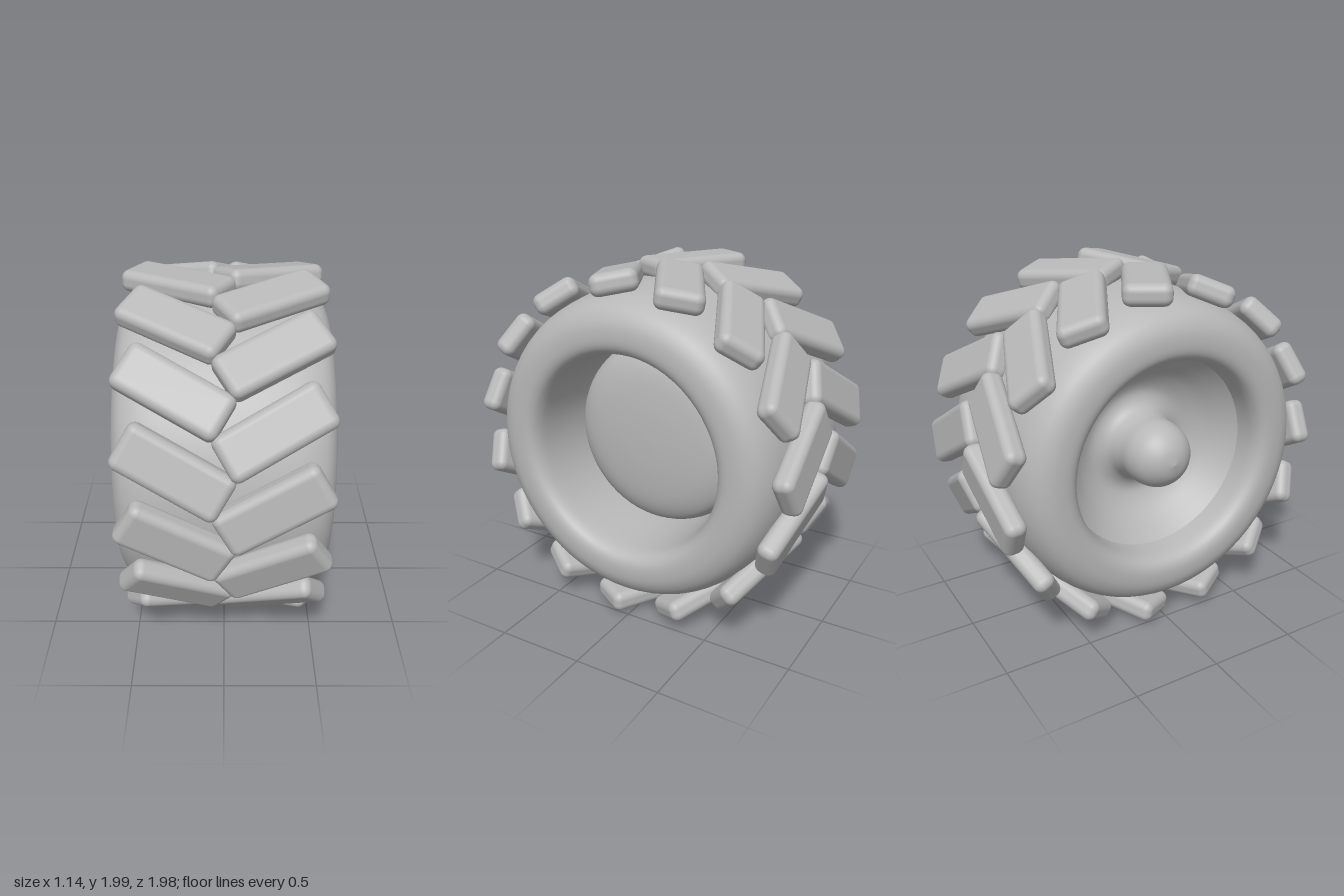
import * as THREE from 'three';
import { RoundedBoxGeometry } from 'three/addons/geometries/RoundedBoxGeometry.js';

const LUGS = 15;          // lugs on each half of the tread
const STEP = (Math.PI * 2) / LUGS;

// Smooth surface of revolution around the x axis; points are [radius, x].
function revolve(name, points, samples, material) {
  const curve = new THREE.SplineCurve(points.map(([r, x]) => new THREE.Vector2(r, x)));
  const profile = curve.getPoints(samples);
  profile.forEach((p) => { p.x = Math.max(0, p.x); });
  const geometry = new THREE.LatheGeometry(profile, 64);
  geometry.rotateZ(-Math.PI / 2);
  const mesh = new THREE.Mesh(geometry, material);
  mesh.name = name;
  return mesh;
}

export function createModel() {
  const grey = new THREE.MeshStandardMaterial({ color: 0xb8b8b8 });
  grey.name = 'plain grey';

  const model = new THREE.Group();
  model.name = 'tractorWheel';
  const wheel = new THREE.Group();
  wheel.name = 'wheel';
  wheel.position.y = 1;
  model.add(wheel);

  // Tyre body: half profile from the tread centre to the bore, mirrored
  const half = [
    [0.885, 0.22], [0.862, 0.4], [0.815, 0.505], [0.75, 0.555],
    [0.68, 0.57], [0.615, 0.563], [0.575, 0.525], [0.556, 0.44], [0.545, 0.2],
  ];
  const mirrored = half.map(([r, x]) => [r, -x]).reverse();
  wheel.add(revolve('tyre', [[0.545, 0], ...mirrored, [0.89, 0], ...half, [0.545, 0]], 80, grey));

  // Domed disc closing the bore on the left side
  wheel.add(revolve('innerDisc', [
    [0.555, 0.04], [0.53, 0.12], [0.485, 0.18], [0.38, 0.225], [0.2, 0.248], [0, 0.255],
  ], 32, grey));

  // Concave dish with a rounded hub on the right side
  wheel.add(revolve('dishAndHub', [
    [0, -0.56], [0.09, -0.535], [0.16, -0.47], [0.188, -0.38], [0.19, -0.28],
    [0.22, -0.2], [0.3, -0.17], [0.4, -0.22], [0.49, -0.31], [0.558, -0.39],
  ], 48, grey));

  // Tread lugs: slanted rounded blocks, the two halves staggered by half a step
  const lugGeometry = new RoundedBoxGeometry(0.592, 0.255, 0.118, 4, 0.045);
  for (const side of [1, -1]) {
    const tread = new THREE.Group();
    tread.name = side > 0 ? 'leftTread' : 'rightTread';
    for (let i = 0; i < LUGS; i++) {
      const spoke = new THREE.Group();
      spoke.name = 'lugMount';
      spoke.rotation.x = -(side * STEP / 4 + i * STEP);
      const lug = new THREE.Mesh(lugGeometry, grey);
      lug.name = 'lug';
      lug.position.set(side * 0.244, 0, 0.918);
      lug.rotation.z = side * Math.PI / 6;
      spoke.add(lug);
      tread.add(spoke);
    }
    wheel.add(tread);
  }
  return model;
}
